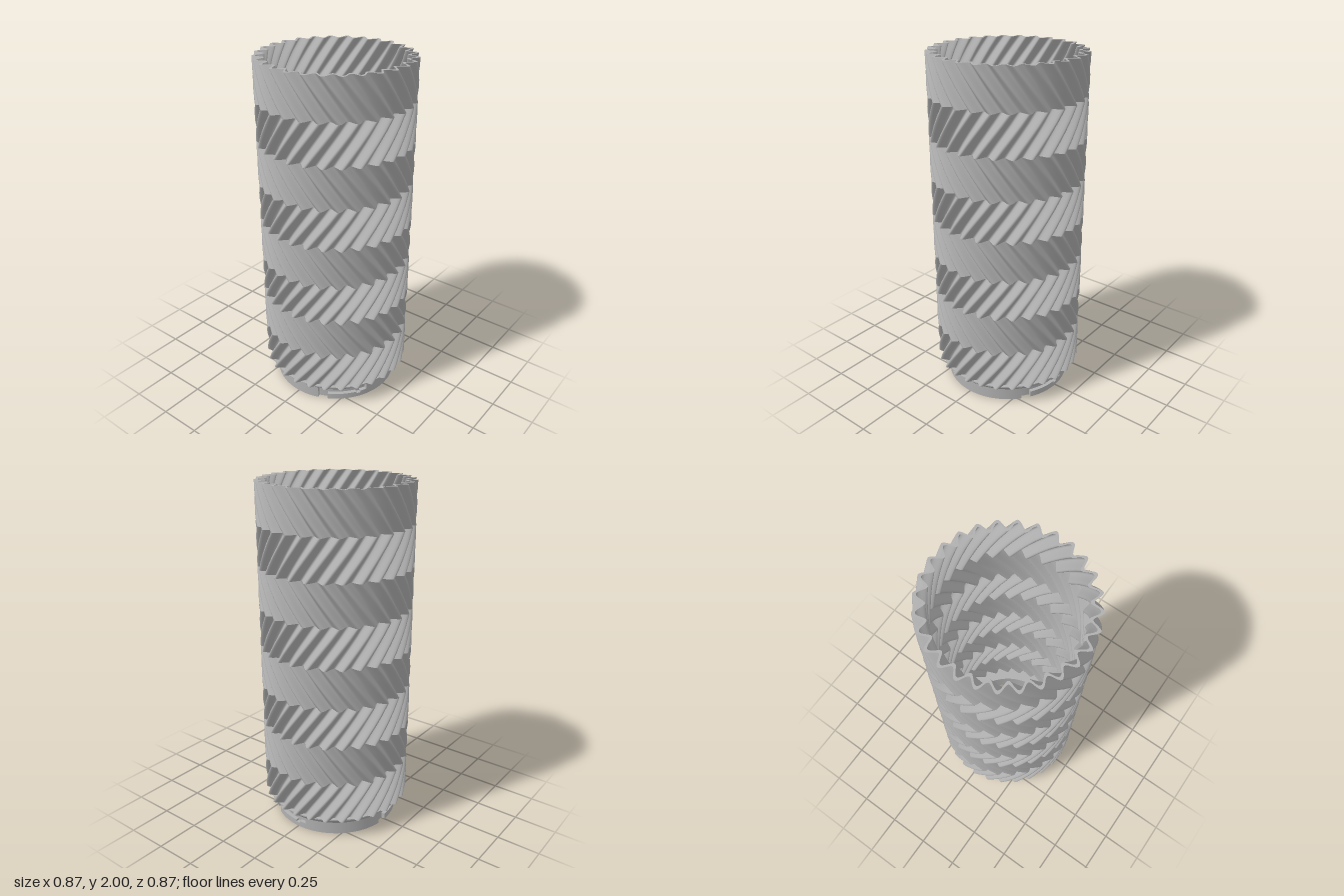
import * as THREE from 'three';
import { toCreasedNormals } from 'three/addons/utils/BufferGeometryUtils.js';

const TEETH = 28, STEPS = TEETH * 12, ROWS = 4;
const BANDS = 8, BOTTOM = 0.12, TOP = 2;
const BAND_H = (TOP - BOTTOM) / BANDS;
const TWIST = 0.41; // radians turned by each band, alternating in direction
const DEG = Math.PI / 180;
const PHASE = 3.6 * DEG;

// wavy wall radius at angle a (measured from +z toward +x)
const waveRadius = (a, mid) => mid + 0.0235 * Math.cos(TEETH * a);
const OUTER = 0.4135, INNER = 0.3955;

function gridGeometry(rows, cols, point, flip) {
  const pos = [], index = [];
  for (let j = 0; j <= rows; j++) {
    for (let i = 0; i < cols; i++) pos.push(...point(j / rows, (i / cols) * Math.PI * 2));
  }
  for (let j = 0; j < rows; j++) {
    for (let i = 0; i < cols; i++) {
      const k = (i + 1) % cols;
      const a = j * cols + i, b = j * cols + k, c = a + cols, d = b + cols;
      if (flip) index.push(a, c, b, b, c, d);
      else index.push(a, b, c, b, d, c);
    }
  }
  const g = new THREE.BufferGeometry();
  g.setAttribute('position', new THREE.Float32BufferAttribute(pos, 3));
  g.setIndex(index);
  g.computeVertexNormals();
  return g;
}

const polar = (r, y, a) => [r * Math.sin(a), y, r * Math.cos(a)];

// one helical band of the wall, turning one way or the other
function bandGeometry(n, mid, flip) {
  const dir = n % 2 ? 1 : -1; // top band (odd) leans one way
  const from = dir > 0 ? TWIST : 0;
  return gridGeometry(ROWS, STEPS, (t, a) => {
    const turn = PHASE + from - dir * t * TWIST;
    return polar(waveRadius(a, mid), BOTTOM + (n + t) * BAND_H, a + turn);
  }, flip);
}

// flat wavy rim closing the wall at the given height
function rimGeometry(y, flip) {
  return gridGeometry(1, STEPS, (t, a) =>
    polar(waveRadius(a, t ? INNER : OUTER), y, a + PHASE), flip);
}

// curved block between two angles, two radii and two heights
function arcBlock(a0, a1, r0, r1, y0, y1) {
  const s = new THREE.Shape();
  const p0 = (a0 - 90) * DEG, p1 = (a1 - 90) * DEG;
  s.absarc(0, 0, r1, p0, p1, false);
  s.absarc(0, 0, r0, p1, p0, true);
  s.closePath();
  const g = new THREE.ExtrudeGeometry(s, { depth: y1 - y0, bevelEnabled: false, curveSegments: 24 });
  g.rotateX(-Math.PI / 2);
  g.translate(0, y0, 0);
  return toCreasedNormals(g, 0.5);
}

export function createModel() {
  const model = new THREE.Group();
  const grey = new THREE.MeshStandardMaterial({ color: 0xb0b0b0 });
  grey.name = 'grey';
  const add = (geometry, name, parent = model) => {
    const mesh = new THREE.Mesh(geometry, grey);
    mesh.name = name;
    parent.add(mesh);
    return mesh;
  };

  // corrugated herringbone wall
  const wall = new THREE.Group();
  wall.name = 'corrugatedWall';
  model.add(wall);
  for (let n = 0; n < BANDS; n++) {
    add(bandGeometry(n, OUTER, false), 'outerBand' + (n + 1), wall);
    add(bandGeometry(n, INNER, true), 'innerBand' + (n + 1), wall);
  }
  add(rimGeometry(TOP, false), 'topRim', wall);
  add(rimGeometry(BOTTOM, true), 'bottomRim', wall);

  // mounting ring with a flared shoulder
  const profile = [
    [0.322, 0], [0.348, 0], [0.348, 0.075], [0.372, 0.075],
    [0.412, 0.115], [0.412, 0.122], [0.322, 0.122], [0.322, 0],
  ].map(([r, y]) => new THREE.Vector2(r, y));
  add(toCreasedNormals(new THREE.LatheGeometry(profile, 120), 0.5), 'mountingRing');

  // bayonet locks, three times around the ring
  for (let i = 0; i < 3; i++) {
    const lock = new THREE.Group();
    lock.name = 'bayonetLock' + (i + 1);
    lock.rotation.y = i * 120 * DEG;
    model.add(lock);
    add(arcBlock(98, 171, 0.34, 0.37, 0, 0.076), 'solidPanel', lock);
    add(arcBlock(60, 87.5, 0.34, 0.37, 0, 0.036), 'lockingFlange', lock);
    add(arcBlock(87.5, 91.5, 0.34, 0.37, 0, 0.024), 'detentNotch', lock);
    add(arcBlock(91.5, 98, 0.34, 0.37, 0, 0.036), 'flangeEnd', lock);
  }
  return model;
}
